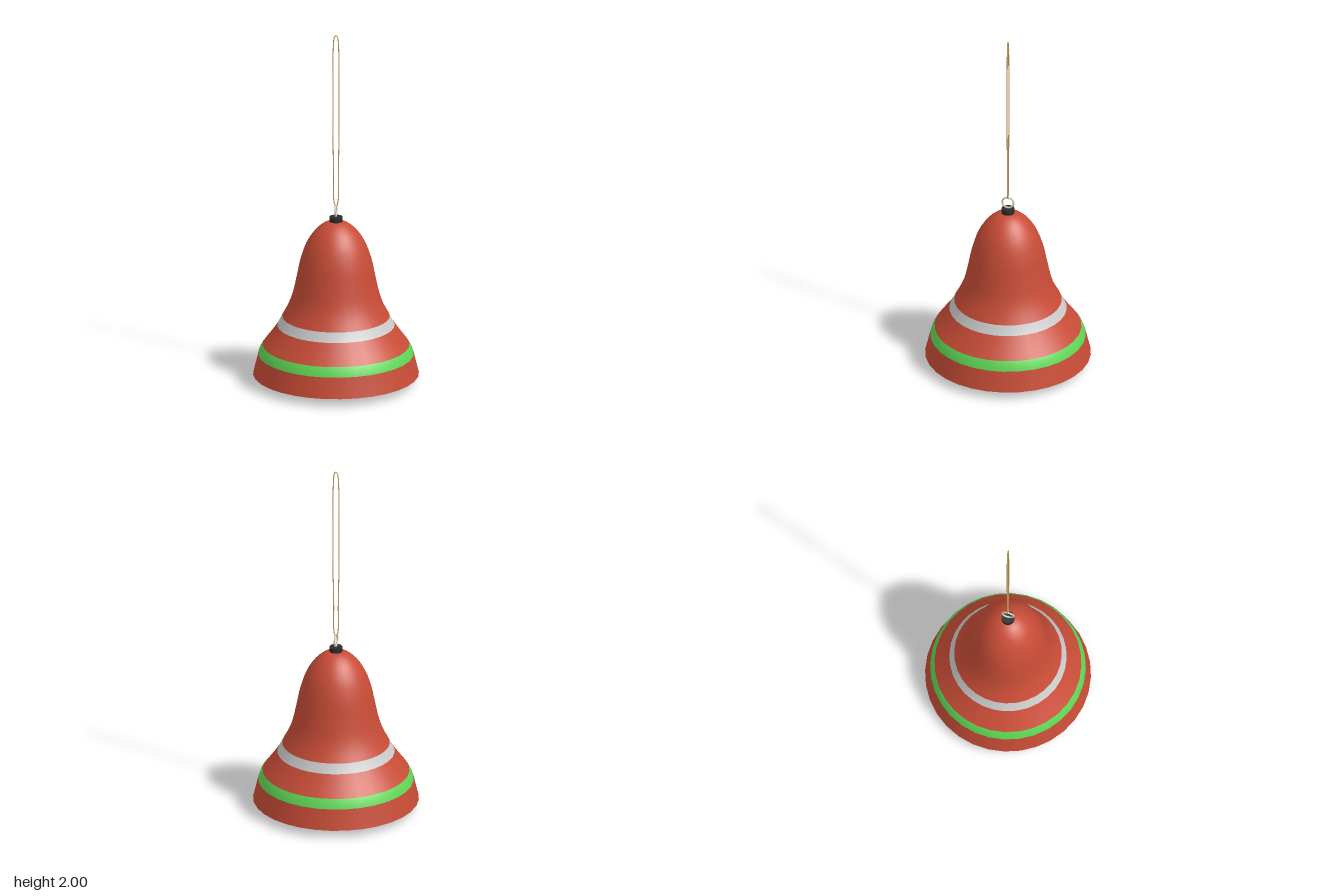
import * as THREE from 'three';

const RED = 0xc84c36, GREEN = 0x5fd655, DARK = 0x2c2c2c, CORD = 0xc8a860, METAL = 0xd8d0b8;
const SIDES = 32;

const v2 = (list) => list.map(([r, y]) => new THREE.Vector2(r, y));

export function createModel() {
  const model = new THREE.Group();

  const add = (name, geometry, color, y = 0, side = THREE.FrontSide) => {
    const mesh = new THREE.Mesh(geometry, new THREE.MeshStandardMaterial({ color, side }));
    mesh.name = name;
    mesh.position.y = y;
    model.add(mesh);
    return mesh;
  };

  // Bell wall, stacked from the rim up as bands sharing their end radii
  const waist = new THREE.SplineCurve(v2([
    [0.295, 0.377], [0.262, 0.44], [0.237, 0.51], [0.215, 0.61], [0.196, 0.7],
    [0.165, 0.79], [0.122, 0.86], [0.075, 0.904], [0.036, 0.922], [0, 0.927],
  ])).getPoints(27);
  waist[waist.length - 1].x = 0;
  const bands = [
    ['rimBand', RED, v2([[0.455, 0.045], [0.441, 0.1], [0.427, 0.16]])],
    ['greenStripe', GREEN, v2([[0.427, 0.16], [0.417, 0.19], [0.403, 0.213]])],
    ['flareBand', RED, v2([[0.403, 0.213], [0.375, 0.25], [0.347, 0.288], [0.322, 0.325]])],
    ['greyStripe', 0xcccccc, v2([[0.322, 0.325], [0.308, 0.35], [0.295, 0.377]])],
    ['bellDome', RED, waist],
  ];
  for (const [name, color, points] of bands) add(name, new THREE.LatheGeometry(points, SIDES), color);

  // Plain inner wall, slightly inside the outer one and meeting it at the rim
  const inner = bands.flatMap(([, , points], i) => (i ? points.slice(1) : points))
    .map((p, i) => new THREE.Vector2(Math.max(0, p.x - (i ? 0.006 : 0)), p.y - (i ? 0.004 : 0)));
  add('innerWall', new THREE.LatheGeometry(inner.reverse(), SIDES), RED);

  // Clapper
  add('clapperRod', new THREE.CylinderGeometry(0.014, 0.014, 0.84, 12), DARK, 0.5);
  add('clapperBall', new THREE.SphereGeometry(0.05, 24, 16), DARK, 0.05);

  // Cap and hanging ring
  add('cap', new THREE.CylinderGeometry(0.036, 0.036, 0.03, 24), DARK, 0.934);
  add('hangingRing', new THREE.TorusGeometry(0.032, 0.005, 10, 32), METAL, 0.985).rotation.y = Math.PI / 2;

  // Long narrow cord loop threaded through the ring
  const right = [[0.01, 1.03], [0.013, 1.2], [0.017, 1.45], [0.017, 1.75], [0.014, 1.94], [0.009, 1.985]];
  const loop = [
    [0, 1.008], ...right, [0, 1.997], ...right.map(([x, y]) => [-x, y]).reverse(),
  ].map(([x, y]) => new THREE.Vector3(x, y, 0));
  const path = new THREE.CatmullRomCurve3(loop, true);
  add('cordLoop', new THREE.TubeGeometry(path, 160, 0.003, 8, true), CORD);

  return model;
}
